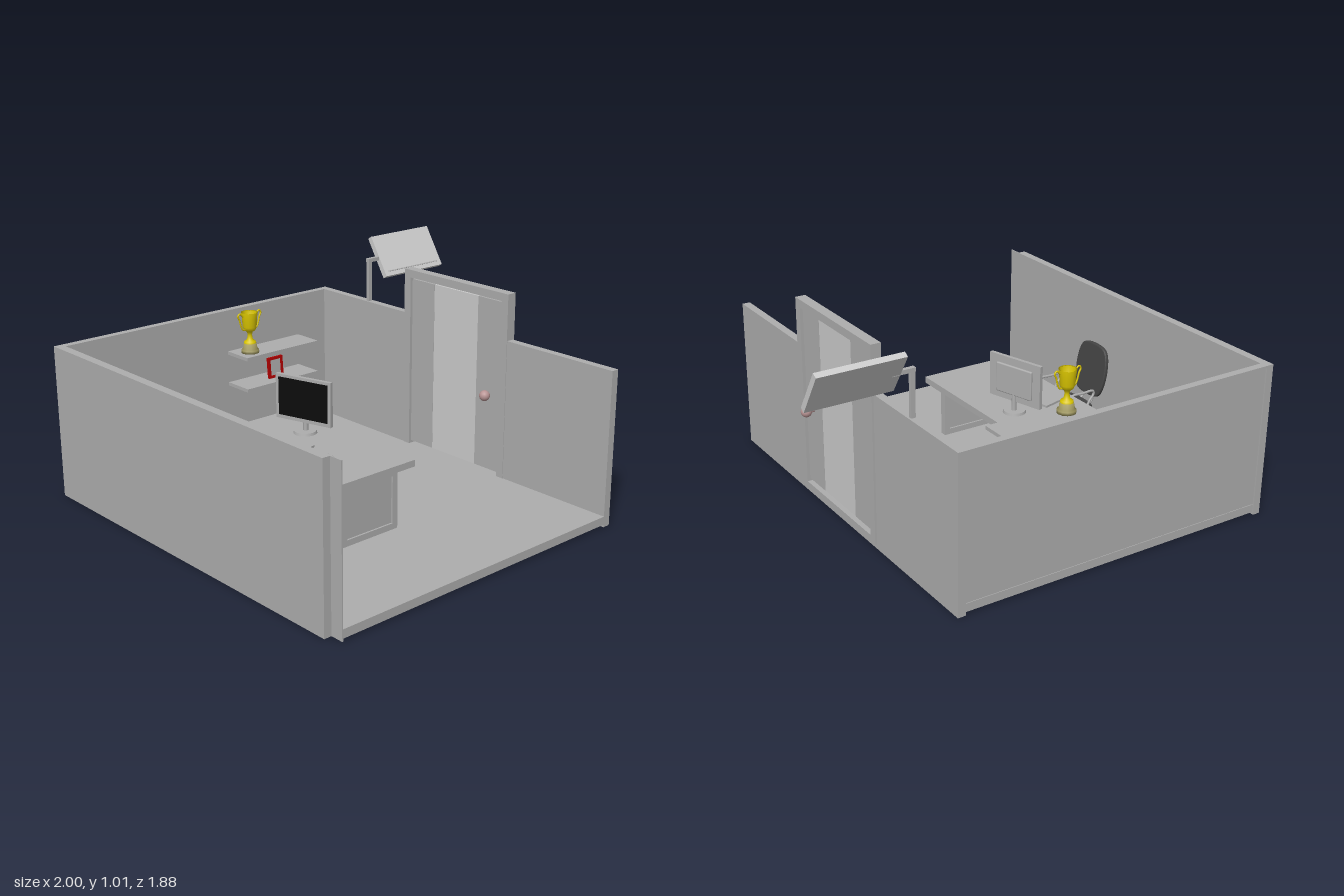
import * as THREE from 'three';
import { RoundedBoxGeometry } from 'three/addons/geometries/RoundedBoxGeometry.js';

const mat = (color) => new THREE.MeshStandardMaterial({ color });
const grey = mat(0xadadad), pale = mat(0xcccccc), dark = mat(0x444444), black = mat(0x0c0c0c);
const gold = mat(0xd8c400), red = mat(0xb00000), copper = mat(0xb89494);
gold.side = THREE.DoubleSide;

function add(parent, name, geometry, material = grey, x = 0, y = 0, z = 0) {
  const mesh = new THREE.Mesh(geometry, material);
  mesh.name = name;
  mesh.position.set(x, y, z);
  parent.add(mesh);
  return mesh;
}

function group(parent, name, x = 0, y = 0, z = 0) {
  const g = new THREE.Group();
  g.name = name;
  g.position.set(x, y, z);
  parent.add(g);
  return g;
}

// Box given by its limits on each axis
function slab(parent, name, [x0, x1], [y0, y1], [z0, z1], material = grey) {
  return add(parent, name, new THREE.BoxGeometry(x1 - x0, y1 - y0, z1 - z0), material,
    (x0 + x1) / 2, (y0 + y1) / 2, (z0 + z1) / 2);
}

// Rectangular border, centred, facing z
function border(w, h, t, depth) {
  const rect = (S, a, b) => new S([[-a, -b], [a, -b], [a, b], [-a, b]].map((p) => new THREE.Vector2(...p)));
  const shape = rect(THREE.Shape, w / 2, h / 2);
  shape.holes.push(rect(THREE.Path, w / 2 - t, h / 2 - t));
  return new THREE.ExtrudeGeometry(shape, { depth, bevelEnabled: false }).translate(0, 0, -depth / 2);
}

function tube(points, r, closed = false, segments = 32) {
  const curve = new THREE.CatmullRomCurve3(points.map((p) => new THREE.Vector3(...p)), closed);
  return new THREE.TubeGeometry(curve, segments, r, 8, closed);
}

const lathe = (pts, n) => new THREE.LatheGeometry(pts.map((p) => new THREE.Vector2(...p)), n);

function buildRoom(root) {
  const room = group(root, 'room');
  slab(room, 'floor', [-0.963, 0.545], [0.012, 0.05], [-0.935, 0.94]);
  slab(room, 'leftWall', [-1, -0.965], [0, 0.71], [-0.94, 0.88]);
  slab(room, 'leftWallLining', [-0.965, -0.96], [0, 0.71], [-0.905, 0.94]);
  slab(room, 'backWall', [-0.965, 0.545], [0.01, 0.71], [-0.932, -0.905]);
  slab(room, 'backWallCap', [-0.965, 0.545], [0.7, 0.71], [-0.94, -0.932]);
  slab(room, 'rightWallFront', [0.54, 0.577], [0, 0.71], [0.33, 0.94]);
  slab(room, 'rightWallBack', [0.54, 0.577], [0, 0.71], [-0.94, -0.29]);
  slab(room, 'doorSill', [0.54, 0.577], [0, 0.02], [-0.29, 0.33]);

  // Door frame, leaf with pale centre, and a knob on each side
  const door = group(root, 'door');
  slab(door, 'frameTop', [0.537, 0.585], [0.888, 0.925], [-0.31, 0.35]);
  slab(door, 'frameFront', [0.537, 0.585], [0.02, 0.888], [0.31, 0.35]);
  slab(door, 'frameBack', [0.537, 0.585], [0.02, 0.888], [-0.31, -0.27]);
  slab(door, 'threshold', [0.537, 0.585], [0.02, 0.05], [-0.27, 0.31]);
  slab(door, 'leafFront', [0.548, 0.573], [0.065, 0.88], [0.16, 0.307]);
  slab(door, 'leafCentre', [0.549, 0.572], [0.065, 0.88], [-0.12, 0.16], pale);
  slab(door, 'leafBack', [0.548, 0.573], [0.065, 0.88], [-0.267, -0.12]);
  for (const x of [0.52, 0.61]) add(door, 'knob', new THREE.SphereGeometry(0.025, 16, 12), copper, x, 0.43, 0.24);
  add(door, 'knobShaft', new THREE.CylinderGeometry(0.009, 0.009, 0.09, 10).rotateZ(Math.PI / 2), copper, 0.565, 0.43, 0.24);
}

function buildSign(root) {
  const sign = group(root, 'hangingSign');
  slab(sign, 'post', [0.548, 0.568], [0.68, 0.922], [-0.592, -0.576]);
  slab(sign, 'arm', [0.548, 0.65], [0.904, 0.922], [-0.597, -0.577]);
  // Tilted panel with a thin strip along its lower edge
  const panel = group(sign, 'panel', 0.808, 0.917, -0.588);
  panel.rotation.x = -0.56;
  add(panel, 'board', new THREE.BoxGeometry(0.384, 0.212, 0.026), pale);
  add(panel, 'strip', new THREE.BoxGeometry(0.335, 0.005, 0.004), grey, 0, -0.083, 0.014);
}

function buildDesk(root) {
  const desk = group(root, 'desk');
  slab(desk, 'deskTop', [-0.588, -0.13], [0.32, 0.35], [-0.385, 0.455]);
  for (const z of [0.405, -0.345]) {
    add(desk, 'legFrame', border(0.31, 0.27, 0.028, 0.035), grey, -0.354, 0.185, z);
    add(desk, 'legPanel', new THREE.BoxGeometry(0.254, 0.214, 0.018), grey, -0.354, 0.185, z);
  }
  const keyboard = add(desk, 'keyboard', new THREE.BoxGeometry(0.114, 0.01, 0.224), grey, -0.432, 0.357, -0.031);
  keyboard.rotation.y = 0.25;
  add(desk, 'mouse', new RoundedBoxGeometry(0.062, 0.02, 0.042, 4, 0.01), grey, -0.408, 0.359, 0.205);

  // Monitor: disc foot, stem and a turned screen
  const monitor = group(desk, 'monitor', -0.26, 0.35, -0.105);
  monitor.rotation.y = 0.29;
  add(monitor, 'foot', new THREE.CylinderGeometry(0.05, 0.053, 0.012, 24), grey, 0, 0.006, 0);
  add(monitor, 'stem', new THREE.CylinderGeometry(0.01, 0.012, 0.09, 12), grey, 0.004, 0.05, 0);
  add(monitor, 'casing', new THREE.BoxGeometry(0.018, 0.205, 0.285), grey, -0.006, 0.154, 0);
  add(monitor, 'casingBack', new RoundedBoxGeometry(0.014, 0.14, 0.2, 2, 0.006), grey, 0.006, 0.152, 0);
  add(monitor, 'screen', new THREE.BoxGeometry(0.003, 0.175, 0.255), black, -0.0155, 0.156, 0);
}

function buildShelves(root) {
  const shelves = group(root, 'shelves');
  for (const y of [0.41, 0.562]) slab(shelves, 'shelf', [-0.22, 0.205], [y, y + 0.016], [-0.712, -0.565]);
  const picture = group(shelves, 'pictureFrame', -0.006, 0.476, -0.63);
  picture.rotation.x = -0.08;
  add(picture, 'frame', border(0.085, 0.1, 0.012, 0.014), red);
  add(picture, 'sheet', new THREE.BoxGeometry(0.066, 0.081, 0.004), grey);

  // Trophy: stepped plinth, stem, faceted cup and two looped handles
  const trophy = group(shelves, 'trophy', -0.15, 0.578, -0.632);
  add(trophy, 'plinth', lathe([[0, 0], [0.042, 0], [0.042, 0.014], [0.034, 0.018], [0.03, 0.046], [0, 0.046]], 12), mat(0xa09860));
  add(trophy, 'cup', lathe([[0.029, 0.046], [0.027, 0.054], [0.014, 0.064], [0.01, 0.085], [0.014, 0.1], [0.026, 0.108],
    [0.033, 0.125], [0.035, 0.165], [0.039, 0.194], [0.035, 0.192], [0.029, 0.13], [0, 0.108]], 16), gold);
  for (const s of [-1, 1]) {
    add(trophy, 'handle', tube([[0.026, 0.112, 0], [0.04, 0.116, 0], [0.05, 0.135, 0], [0.058, 0.165, 0],
      [0.066, 0.183, 0], [0.056, 0.194, 0], [0.037, 0.178, 0]].map(([x, y, z]) => [x * s, y, z]), 0.004), gold);
  }
}

function buildChair(root) {
  const chair = group(root, 'officeChair', -0.683, 0.05, 0.07);
  // Five spokes with casters, and a gas column
  for (let i = 0; i < 5; i++) {
    const spoke = group(chair, 'spoke');
    spoke.rotation.y = (i * 2 * Math.PI) / 5;
    add(spoke, 'spokeBar', new THREE.BoxGeometry(0.14, 0.01, 0.018), grey, 0.07, 0.021, 0);
    add(spoke, 'caster', new THREE.CylinderGeometry(0.011, 0.011, 0.018, 12).rotateX(Math.PI / 2), grey, 0.136, 0.011, 0);
  }
  add(chair, 'hub', new THREE.CylinderGeometry(0.022, 0.025, 0.02, 16), grey, 0, 0.024, 0);
  add(chair, 'column', new THREE.CylinderGeometry(0.014, 0.015, 0.135, 16), grey, -0.004, 0.09, 0);
  add(chair, 'seatPlate', new THREE.BoxGeometry(0.09, 0.012, 0.1), grey, 0, 0.15, 0);

  // Cushions from rounded outlines
  const cushion = (pts, depth, bevel) => new THREE.ExtrudeGeometry(
    new THREE.Shape(new THREE.CatmullRomCurve3(pts.map(([x, y]) => new THREE.Vector3(x, y, 0)), true, 'catmullrom', 0.5)
      .getPoints(48).map((p) => new THREE.Vector2(p.x, p.y))),
    { depth, bevelThickness: bevel, bevelSize: 0.008, bevelSegments: 3 }).translate(0, 0, -depth / 2);
  const seat = cushion([[-0.09, -0.07], [-0.04, -0.105], [0.06, -0.105], [0.088, -0.075], [0.092, 0],
    [0.088, 0.075], [0.06, 0.105], [-0.04, 0.105], [-0.09, 0.07]], 0.01, 0.007);
  add(chair, 'seat', seat.rotateX(-Math.PI / 2), dark, 0, 0.168, 0);
  const back = cushion([[-0.055, -0.115], [0.055, -0.115], [0.088, -0.08], [0.102, 0], [0.09, 0.085],
    [0.05, 0.118], [-0.05, 0.118], [-0.09, 0.085], [-0.102, 0], [-0.088, -0.08]], 0.008, 0.006);
  add(chair, 'backrest', back.rotateY(Math.PI / 2), dark, -0.15, 0.32, 0).rotation.z = 0.15;

  // Triangular arms mirrored on both sides, and twin bars to the backrest
  for (const s of [-1, 1]) {
    const z = s * 0.128;
    add(chair, 'armLoop', tube([[-0.06, 0.272, z], [0, 0.272, z], [0.06, 0.272, z], [0.066, 0.258, z], [0.044, 0.227, z],
      [0.02, 0.192, z], [-0.02, 0.192, z], [-0.044, 0.227, z], [-0.066, 0.258, z]], 0.006, true, 48));
    add(chair, 'armPost', tube([[0, 0.192, z], [0, 0.162, s * 0.122], [0, 0.15, s * 0.09], [0, 0.15, s * 0.03]], 0.006));
    add(chair, 'backBar', tube([[-0.04, 0.152, s * 0.035], [-0.1, 0.156, s * 0.035], [-0.126, 0.17, s * 0.035], [-0.146, 0.24, s * 0.035]], 0.006));
  }
}

export function createModel() {
  const root = new THREE.Group();
  root.name = 'office';
  buildRoom(root);
  buildSign(root);
  buildDesk(root);
  buildShelves(root);
  buildChair(root);
  return root;
}
